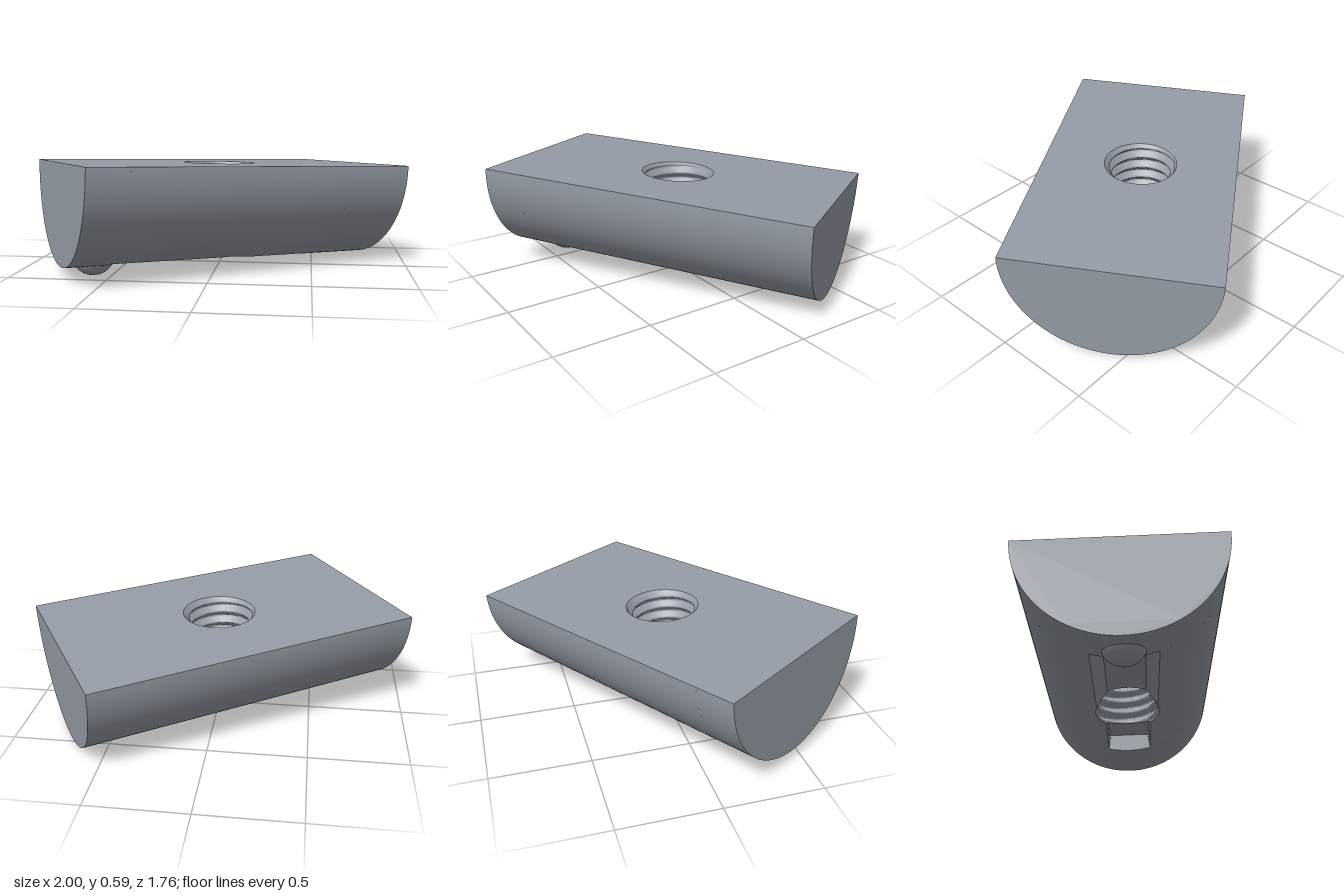
import * as THREE from 'three';

// Local frame: x along the nut, y out of its flat top, z across it
const HALF_LEN = 0.8625, HALF_W = 0.505, DEPTH = 0.517;
const HOLE = 0.17, CHAMFER = 0.19, PITCH = 0.065;
const SLOT_START = -0.66, SLOT_END = 0.5;

const underside = (w) => -DEPTH * Math.sqrt(Math.max(0, 1 - (w / HALF_W) ** 2));
const slotHalf = (l) => (l < 0 ? 0.16 : 0.12);

// Height of the slot's floor and flanks, or of the underside outside the slot
function slotHeight(l, w) {
  const a = Math.abs(w), surface = underside(w);
  if (a >= slotHalf(l) - 1e-6) return surface;
  const floor = l < 0 ? -0.43 : THREE.MathUtils.mapLinear(l, HOLE, SLOT_END, -0.485, -0.42);
  const flat = l < 0 ? 0.1 : 0.11;
  const t = Math.max(0, (a - flat) / (slotHalf(l) - flat));
  return THREE.MathUtils.lerp(floor, underside(slotHalf(l)), t);
}

// Surface over u, v in 0..1
function grid(nu, nv, point, flat = false) {
  const pos = [], index = [];
  for (let i = 0; i <= nu; i++) {
    for (let j = 0; j <= nv; j++) pos.push(...point(i / nu, j / nv));
  }
  for (let i = 0; i < nu; i++) {
    for (let j = 0; j < nv; j++) {
      const a = i * (nv + 1) + j, b = a + nv + 1;
      index.push(a, b, a + 1, b, b + 1, a + 1);
    }
  }
  let g = new THREE.BufferGeometry();
  g.setAttribute('position', new THREE.Float32BufferAttribute(pos, 3));
  g.setIndex(index);
  if (flat) g = g.toNonIndexed();
  g.computeVertexNormals();
  return g;
}

export function createModel() {
  const steel = new THREE.MeshStandardMaterial({ color: 0x959ca6, side: THREE.DoubleSide });
  steel.name = 'steel grey';
  const nut = new THREE.Group();
  nut.name = 'slotNut';
  const add = (name, geometry) => {
    const mesh = new THREE.Mesh(geometry, steel);
    mesh.name = name;
    nut.add(mesh);
    return mesh;
  };
  const lerp = THREE.MathUtils.lerp;
  const onBody = (l, a) => [l, -DEPTH * Math.cos(a), HALF_W * Math.sin(a)];

  // Flat top with the round opening
  const top = new THREE.Shape([
    new THREE.Vector2(-HALF_LEN, -HALF_W), new THREE.Vector2(HALF_LEN, -HALF_W),
    new THREE.Vector2(HALF_LEN, HALF_W), new THREE.Vector2(-HALF_LEN, HALF_W),
  ]);
  top.holes.push(new THREE.Path().absarc(0, 0, CHAMFER, 0, Math.PI * 2, true));
  add('topFace', new THREE.ShapeGeometry(top, 32).rotateX(-Math.PI / 2));

  // Half-round ends
  const end = new THREE.Shape();
  end.absellipse(0, 0, HALF_W, DEPTH, Math.PI, Math.PI * 2, false);
  for (const s of [-1, 1]) {
    add('endFace', new THREE.ShapeGeometry(end, 48).rotateY(s * Math.PI / 2)).position.x = s * HALF_LEN;
  }

  // Rounded underside: closed at both ends, open along the slot and hole
  for (const [from, to] of [[-HALF_LEN, SLOT_START], [SLOT_END, HALF_LEN]]) {
    add('roundedEnd', grid(2, 64, (u, v) => onBody(lerp(from, to, u), (v - 0.5) * Math.PI)));
  }
  const opening = (l) => Math.asin(
    Math.max(slotHalf(l), Math.sqrt(Math.max(0, HOLE ** 2 - l * l))) / HALF_W);
  for (const s of [-1, 1]) {
    add('roundedSide', grid(116, 32, (u, v) => {
      const l = lerp(SLOT_START, SLOT_END, u);
      const t = s > 0 ? v : 1 - v;
      return onBody(l, s * lerp(opening(l), Math.PI / 2, t));
    }));
  }

  // Slot on each side of the hole, with its end wall
  for (const [name, l0] of [['ballSlot', SLOT_START], ['rampSlot', SLOT_END]]) {
    const s = Math.sign(l0), half = slotHalf(l0), n = Math.round(half * 200);
    add(name, grid(8, n, (u, v) => {
      const w = lerp(-half, half, v);
      const rim = s * Math.sqrt(HOLE ** 2 - w * w);
      const l = s < 0 ? lerp(l0, rim, u) : lerp(rim, l0, u);
      return [l, slotHeight(l, w), w];
    }, true));
    add(name + 'End', grid(n, 1, (u, v) => {
      const w = lerp(-half, half, u);
      const t = s > 0 ? v : 1 - v;
      return [l0, lerp(underside(w), slotHeight(l0, w), t), w];
    }, true));
  }

  // Chamfered bore with a spiral thread
  add('threadedHole', grid(72, 90, (u, v) => {
    const a = u * Math.PI * 2;
    const bottom = slotHeight(HOLE * Math.cos(a), HOLE * Math.sin(a));
    const n = bottom * (1 - v);
    const phase = n / PITCH - u;
    const wave = Math.abs((phase - Math.floor(phase)) * 4 - 2) - 1;
    const fade = Math.min(1, (n - bottom) / 0.02);
    const r = Math.max(CHAMFER + n, HOLE + 0.015 * wave * fade);
    return [r * Math.cos(a), n, r * Math.sin(a)];
  }));

  // Spring ball
  add('springBall', new THREE.SphereGeometry(0.112, 40, 24)).position.set(-0.694, -0.456, 0);

  // Turn and tilt the nut into its resting pose
  const x = new THREE.Vector3(0.852, -0.032, -0.522).normalize();
  const y = new THREE.Vector3(0.525, 0.033, 0.85).cross(x).normalize();
  const z = new THREE.Vector3().crossVectors(x, y);
  nut.quaternion.setFromRotationMatrix(new THREE.Matrix4().makeBasis(x, y, z));
  nut.position.y = 0.546;

  const model = new THREE.Group();
  model.name = 'model';
  model.add(nut);
  return model;
}
